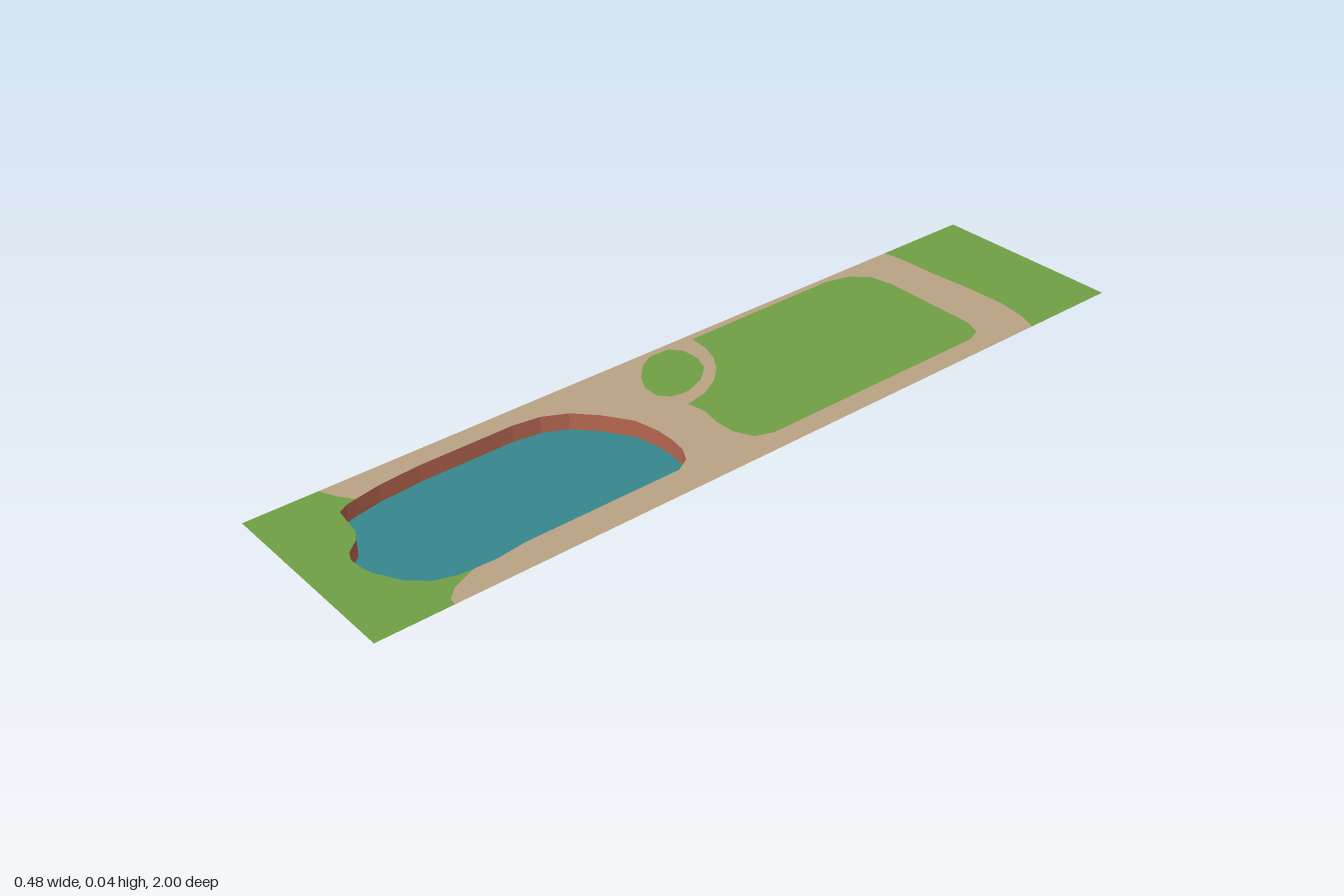
import * as THREE from 'three';

const GROUND_Y = 0.04;

function material(name, color) {
  const m = new THREE.MeshStandardMaterial({ color, side: THREE.DoubleSide });
  m.name = name;
  return m;
}

// Outlines are [x, z] pairs seen from above.
const toVectors = (points) => points.map(([x, z]) => new THREE.Vector2(x, -z));

function flatPart(name, points, y, mat, holes = []) {
  const shape = new THREE.Shape(toVectors(points));
  shape.holes = holes.map((h) => new THREE.Path(toVectors(h)));
  const geometry = new THREE.ShapeGeometry(shape).rotateX(-Math.PI / 2).translate(0, y, 0);
  const mesh = new THREE.Mesh(geometry, mat);
  mesh.name = name;
  return mesh;
}

// Upright band following a closed outline, flat facets.
function wallPart(name, points, bottom, top, mat) {
  const positions = [];
  points.forEach(([x0, z0], i) => {
    const [x1, z1] = points[(i + 1) % points.length];
    positions.push(x0, bottom, z0, x0, top, z0, x1, top, z1);
    positions.push(x0, bottom, z0, x1, top, z1, x1, bottom, z1);
  });
  const geometry = new THREE.BufferGeometry();
  geometry.setAttribute('position', new THREE.Float32BufferAttribute(positions, 3));
  geometry.computeVertexNormals();
  const mesh = new THREE.Mesh(geometry, mat);
  mesh.name = name;
  return mesh;
}

export function createModel() {
  const grass = material('grass green', 0x70a045);
  const sand = material('path sand', 0xb9a384);
  const water = material('water teal', 0x35878d);
  const brick = material('brick red', 0xb5664f);

  // Pond rim, split where the front grass meets the sand
  const pondFront = [
    [0.173, 0.745], [0.17, 0.775], [0.155, 0.82], [0.12, 0.86], [0.06, 0.893], [0.03, 0.9],
    [0, 0.902], [-0.023, 0.892], [-0.05, 0.86], [-0.075, 0.847], [-0.15, 0.837], [-0.162, 0.815], [-0.168, 0.79],
  ];
  const pondBack = [
    [-0.18, 0.73], [-0.188, 0.63], [-0.188, 0.4], [-0.178, 0.335], [-0.15, 0.28], [-0.1, 0.234],
    [-0.035, 0.192], [0.025, 0.18], [0.07, 0.18], [0.115, 0.187], [0.148, 0.206], [0.167, 0.24],
    [0.167, 0.62], [0.175, 0.69],
  ];
  const pond = [...pondFront, ...pondBack];

  // Edges of the two grass ends
  const backEdge = [
    [-0.24, -0.755], [-0.18, -0.764], [-0.08, -0.767], [0.02, -0.777], [0.12, -0.78], [0.19, -0.77], [0.24, -0.75],
  ];
  const rightEdge = [[0.24, 0.83], [0.22, 0.825], [0.197, 0.8]];
  const leftEdge = [[-0.2, 0.813], [-0.24, 0.832]];

  // Main lawn with a bite taken out by the curved path
  const lawn = [
    [-0.225, -0.54], [-0.21, -0.6], [-0.175, -0.64], [-0.11, -0.653], [0.13, -0.652], [0.172, -0.637],
    [0.188, -0.6], [0.188, 0], [0.172, 0.042], [0.13, 0.063], [0.08, 0.065], [0.03, 0.056], [-0.015, 0.064],
    [-0.025, 0.01], [-0.052, -0.04], [-0.09, -0.08], [-0.13, -0.105], [-0.17, -0.118], [-0.222, -0.122],
  ];
  const roundLawn = [
    [-0.222, -0.05], [-0.195, -0.073], [-0.15, -0.076], [-0.108, -0.06], [-0.075, -0.022], [-0.055, 0.03],
    [-0.06, 0.072], [-0.085, 0.093], [-0.125, 0.093], [-0.165, 0.073], [-0.205, 0.035], [-0.224, 0],
  ];

  const sandOutline = [...backEdge, ...rightEdge, pondFront[0], ...[...pondBack].reverse(), pondFront.at(-1), ...leftEdge];
  const frontOutline = [...rightEdge, ...pondFront, ...leftEdge, [-0.24, 1], [0.24, 1]];

  const model = new THREE.Group();
  model.name = 'garden';
  model.add(
    flatPart('sandPath', sandOutline, GROUND_Y, sand, [lawn, roundLawn]),
    flatPart('backGrass', [[-0.24, -1], [0.24, -1], ...[...backEdge].reverse()], GROUND_Y, grass),
    flatPart('frontGrass', frontOutline, GROUND_Y, grass),
    flatPart('mainLawn', lawn, GROUND_Y, grass),
    flatPart('roundLawn', roundLawn, GROUND_Y, grass),
    flatPart('pondWater', pond, 0, water),
    wallPart('pondWall', pond, 0, GROUND_Y, brick),
  );
  return model;
}
